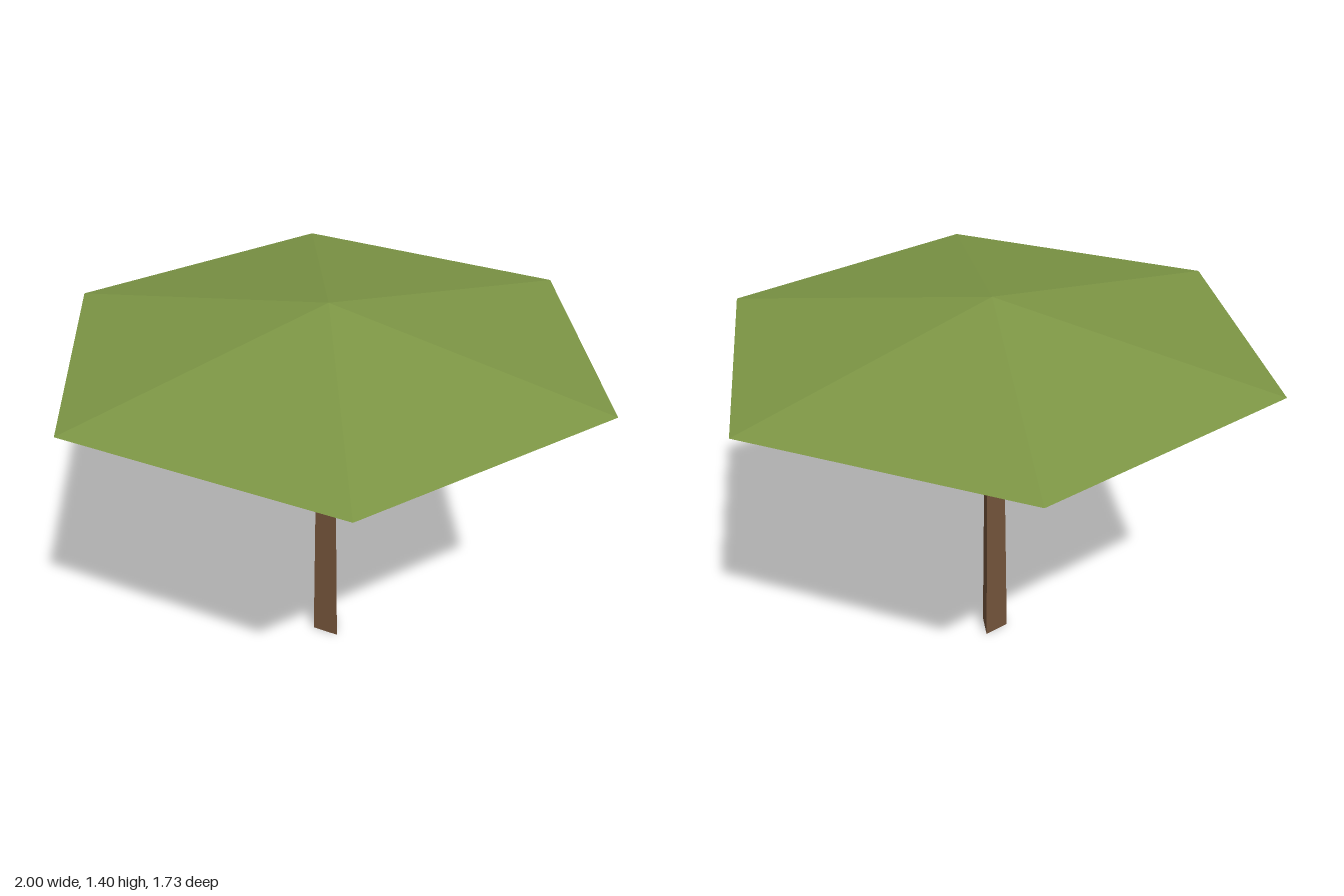
import * as THREE from 'three';

const leafGreen = new THREE.MeshStandardMaterial({ color: 0x7d9645 });
const barkBrown = new THREE.MeshStandardMaterial({ color: 0x73533a });

// Faceted mesh: unshared corners give each face its own flat normal
function facetedMesh(name, geometry, material) {
  const flat = geometry.toNonIndexed();
  flat.computeVertexNormals();
  const mesh = new THREE.Mesh(flat, material);
  mesh.name = name;
  return mesh;
}

export function createModel() {
  const tree = new THREE.Group();
  tree.name = 'tree';

  // Three-sided tapering trunk, flat side to the front
  const trunkHeight = 1.06;
  const trunk = new THREE.CylinderGeometry(0.04, 0.058, trunkHeight, 3, 1, false, Math.PI);
  trunk.translate(0, trunkHeight / 2, 0);
  tree.add(facetedMesh('trunk', trunk, barkBrown));

  // Flattened six-sided double pyramid, corners on the x axis
  const canopy = new THREE.SphereGeometry(1, 6, 2);
  canopy.scale(1, 0.177, 1);
  canopy.translate(0, 1.223, 0);
  tree.add(facetedMesh('canopy', canopy, leafGreen));

  return tree;
}
